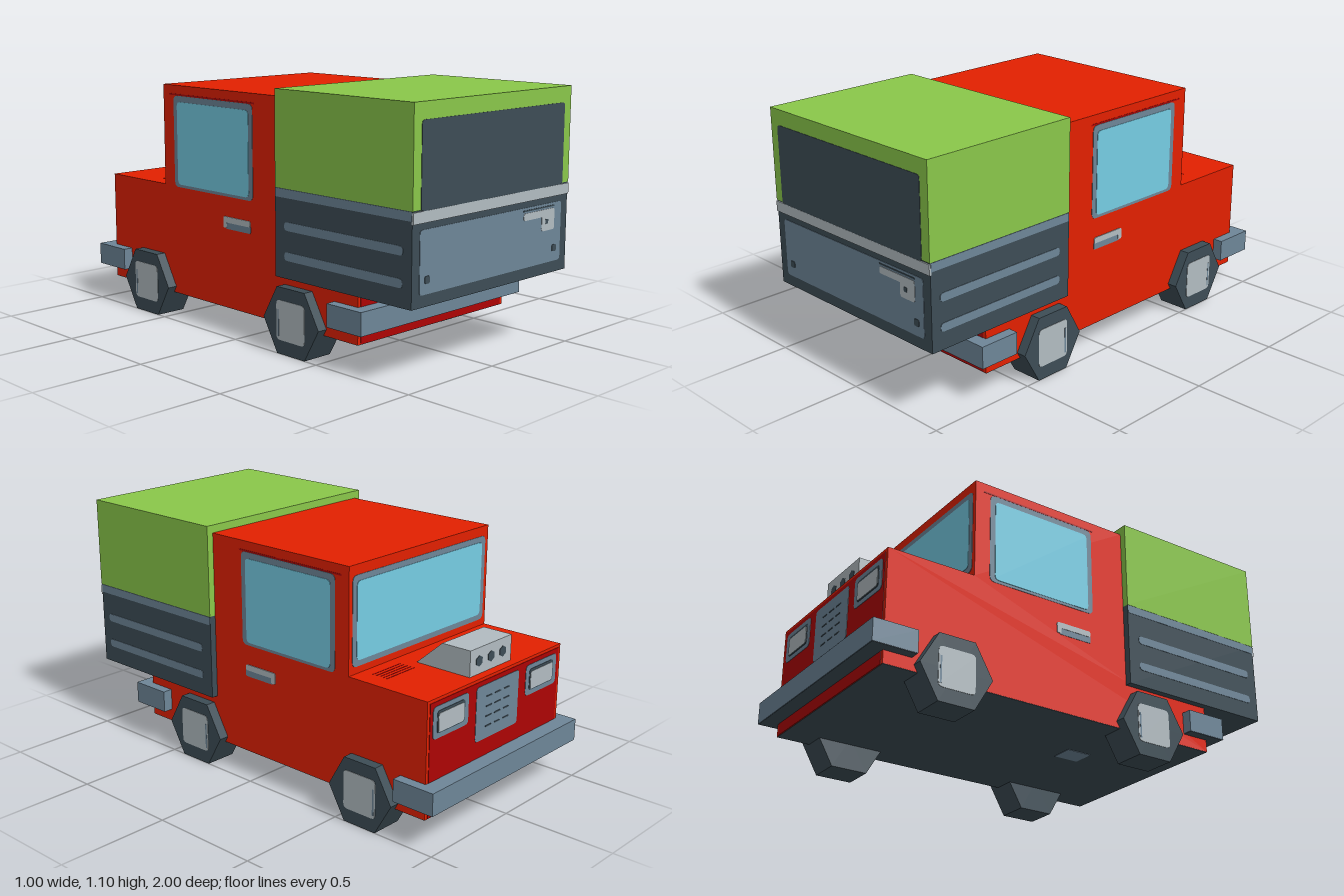
import * as THREE from 'three';

const mat = (name, color) => Object.assign(new THREE.MeshStandardMaterial({ color }), { name });

export function createModel() {
  const red = mat('body red', 0xe32000), darkRed = mat('dark red', 0xae0404);
  const dark = mat('dark slate', 0x3d4d56), slate = mat('slate', 0x6e8698);
  const light = mat('light grey', 0xb2bcc1), green = mat('canopy green', 0x8ac74a);
  const glass = mat('glass blue', 0x76cde4);
  const truck = new THREE.Group();
  truck.name = 'truck';

  const add = (name, geometry, material) => {
    const m = new THREE.Mesh(geometry, material);
    m.name = name;
    truck.add(m);
    return m;
  };
  // Box given by its limits on each axis
  const box = (name, material, [x0, x1], [y0, y1], [z0, z1]) => {
    const m = add(name, new THREE.BoxGeometry(x1 - x0, y1 - y0, z1 - z0), material);
    m.position.set((x0 + x1) / 2, (y0 + y1) / 2, (z0 + z1) / 2);
  };
  const roundRect = (w, h, r) => {
    const s = new THREE.Shape(), a = w / 2, b = h / 2;
    s.moveTo(-a + r, -b);
    s.lineTo(a - r, -b); s.quadraticCurveTo(a, -b, a, -b + r);
    s.lineTo(a, b - r); s.quadraticCurveTo(a, b, a - r, b);
    s.lineTo(-a + r, b); s.quadraticCurveTo(-a, b, -a, b - r);
    s.lineTo(-a, -b + r); s.quadraticCurveTo(-a, -b, -a + r, -b);
    return s;
  };
  // Thin rounded plate on the surface at (x, y, z), turned about y; higher layers lie on top
  const plate = (name, material, turn, x, y, z, w, h, layer = 1, r = 0.012) => {
    const g = new THREE.ExtrudeGeometry(roundRect(w, h, r),
      { depth: 0.0018 * layer, bevelEnabled: false, curveSegments: 3 });
    const m = add(name, g, material);
    m.rotation.y = turn;
    m.position.set(x, y, z);
  };
  const REAR = 0, NOSE = Math.PI;

  // Body: one stepped side outline extruded across the width
  const outline = new THREE.Shape([
    [-0.69, 0.115], [0.928, 0.115], [0.928, 0.61], [0.53, 0.61], [0.53, 1.063],
    [-0.245, 1.063], [-0.245, 0.34], [-0.69, 0.34],
  ].map(p => new THREE.Vector2(...p)));
  const bodyGeo = new THREE.ExtrudeGeometry(outline, { depth: 0.91, bevelEnabled: false });
  bodyGeo.translate(0, 0, -0.455).rotateY(Math.PI / 2);
  add('body', bodyGeo, red);
  box('underside', dark, [-0.454, 0.454], [0.113, 0.116], [-0.927, 0.689]);
  box('undersideCover', slate, [-0.14, -0.04], [0.111, 0.114], [0.17, 0.29]);
  box('rearSkirt', darkRed, [-0.44, 0.44], [0.116, 0.33], [0.688, 0.692]);
  box('nosePanel', darkRed, [-0.44, 0.44], [0.116, 0.597], [-0.93, -0.925]);

  // Load bed and canopy
  box('bed', dark, [-0.485, 0.485], [0.321, 0.695], [0.245, 0.994]);
  box('canopy', green, [-0.486, 0.486], [0.695, 1.097], [0.245, 0.997]);
  plate('canopyRearPanel', dark, REAR, 0, 0.86, 0.997, 0.884, 0.34, 1, 0.015);
  box('tailgateTopBand', light, [-0.486, 0.486], [0.645, 0.69], [0.99, 0.9995]);
  plate('tailgatePanel', slate, REAR, 0, 0.494, 0.994, 0.885, 0.25, 1, 0.015);
  plate('tailgateLatchBar', light, REAR, 0.29, 0.581, 0.994, 0.205, 0.03, 2, 0.008);
  plate('tailgateLatch', light, REAR, 0.352, 0.551, 0.994, 0.086, 0.09, 2, 0.012);
  plate('latchKeyhole', dark, REAR, 0.342, 0.545, 0.994, 0.018, 0.02, 3, 0.004);
  plate('latchShadow', dark, REAR, 0.29, 0.606, 0.994, 0.21, 0.006, 2, 0.002);
  for (const x of [-0.4, 0.4])
    plate('tailgateBolt', dark, REAR, x, 0.425, 0.994, 0.03, 0.03, 2, 0.01);

  // Windscreen
  plate('windscreenFrame', slate, NOSE, 0, 0.83, -0.53, 0.87, 0.38, 1, 0.025);
  plate('windscreen', glass, NOSE, 0, 0.83, -0.53, 0.82, 0.33, 2, 0.02);

  // Grille and hood scoop
  plate('grille', slate, NOSE, 0, 0.46, -0.93, 0.29, 0.235, 1, 0.015);
  for (let i = 0; i < 4; i++)
    for (const x of [-0.06, 0, 0.06])
      plate('grilleSlot', dark, NOSE, x, 0.395 + i * 0.043, -0.93, 0.04, 0.006, 2, 0.002);

  const scoopGeo = new THREE.ExtrudeGeometry(new THREE.Shape([
    [0.62, 0.608], [0.89, 0.608], [0.89, 0.722], [0.75, 0.722],
  ].map(p => new THREE.Vector2(...p))), { depth: 0.28, bevelEnabled: false });
  scoopGeo.translate(0, 0, -0.14).rotateY(Math.PI / 2);
  add('hoodScoop', scoopGeo, light);
  for (const x of [-0.08, 0, 0.08]) {
    const hole = add('scoopHole', new THREE.CylinderGeometry(0.024, 0.024, 0.004, 6), dark);
    hole.rotation.x = Math.PI / 2;
    hole.position.set(x, 0.665, -0.89);
  }

  // Bumpers with dark undersides
  for (const [name, z0, z1] of [['frontBumper', -1, -0.803], ['rearBumper', 0.56, 0.75]]) {
    box(name, slate, [-0.5, 0.5], [0.171, 0.268], [z0, z1]);
    box(name + 'Underside', dark, [-0.498, 0.498], [0.1695, 0.172], [z0 + 0.002, z1 - 0.002]);
  }

  // Parts repeated on both sides
  for (const s of [1, -1]) {
    const turn = s * Math.PI / 2;
    const sideBox = (name, material, x0, x1, y, z) =>
      box(name, material, s > 0 ? [x0, x1] : [-x1, -x0], y, z);

    // Door window, gutter and handle
    plate('doorWindowFrame', slate, turn, s * 0.455, 0.812, -0.192, 0.53, 0.41, 1, 0.025);
    plate('doorWindow', glass, turn, s * 0.455, 0.805, -0.192, 0.48, 0.37, 2, 0.02);
    sideBox('rainGutter', darkRed, 0.452, 0.4562, [1.018, 1.025], [-0.49, 0.085]);
    plate('doorHandleBase', slate, turn, s * 0.455, 0.482, -0.025, 0.165, 0.034, 1, 0.01);
    plate('doorHandle', light, turn, s * 0.455, 0.506, -0.032, 0.175, 0.026, 2, 0.01);
    plate('doorHandleEnd', light, turn, s * 0.455, 0.492, -0.108, 0.022, 0.045, 2, 0.006);

    // Bed rail and pressed ribs
    sideBox('bedRail', slate, 0.48, 0.4865, [0.657, 0.693], [0.247, 0.992]);
    for (const y of [0.54, 0.415])
      plate('bedRib', slate, turn, s * 0.485, y, 0.625, 0.65, 0.036, 1, 0.016);

    // Headlight
    plate('headlightFrame', slate, NOSE, s * 0.31, 0.51, -0.93, 0.225, 0.135, 1, 0.02);
    plate('headlightRing', dark, NOSE, s * 0.31, 0.51, -0.93, 0.175, 0.094, 2, 0.015);
    plate('headlightLens', light, NOSE, s * 0.31, 0.507, -0.93, 0.162, 0.078, 3, 0.012);

    // Hood vents
    for (let i = 0; i < 5; i++)
      sideBox('hoodVent', darkRed, 0.2, 0.37, [0.608, 0.611], [-0.658 + i * 0.018, -0.653 + i * 0.018]);

    // Six-sided wheels with square hubs
    for (const z of [-0.63, 0.35]) {
      const tyreGeo = new THREE.CylinderGeometry(0.1645, 0.1645, 0.145, 6).toNonIndexed();
      tyreGeo.computeVertexNormals();
      const tyre = add('wheel', tyreGeo, dark);
      tyre.rotation.z = Math.PI / 2;
      tyre.position.set(s * 0.4275, 0.1425, z);
      plate('wheelHub', light, turn, s * 0.5, 0.145, z, 0.168, 0.17, 1, 0.02);
      sideBox('hubTrim', slate, 0.5, 0.5025, [0.075, 0.19], [z - 0.077, z - 0.069]);
    }
  }
  return truck;
}
